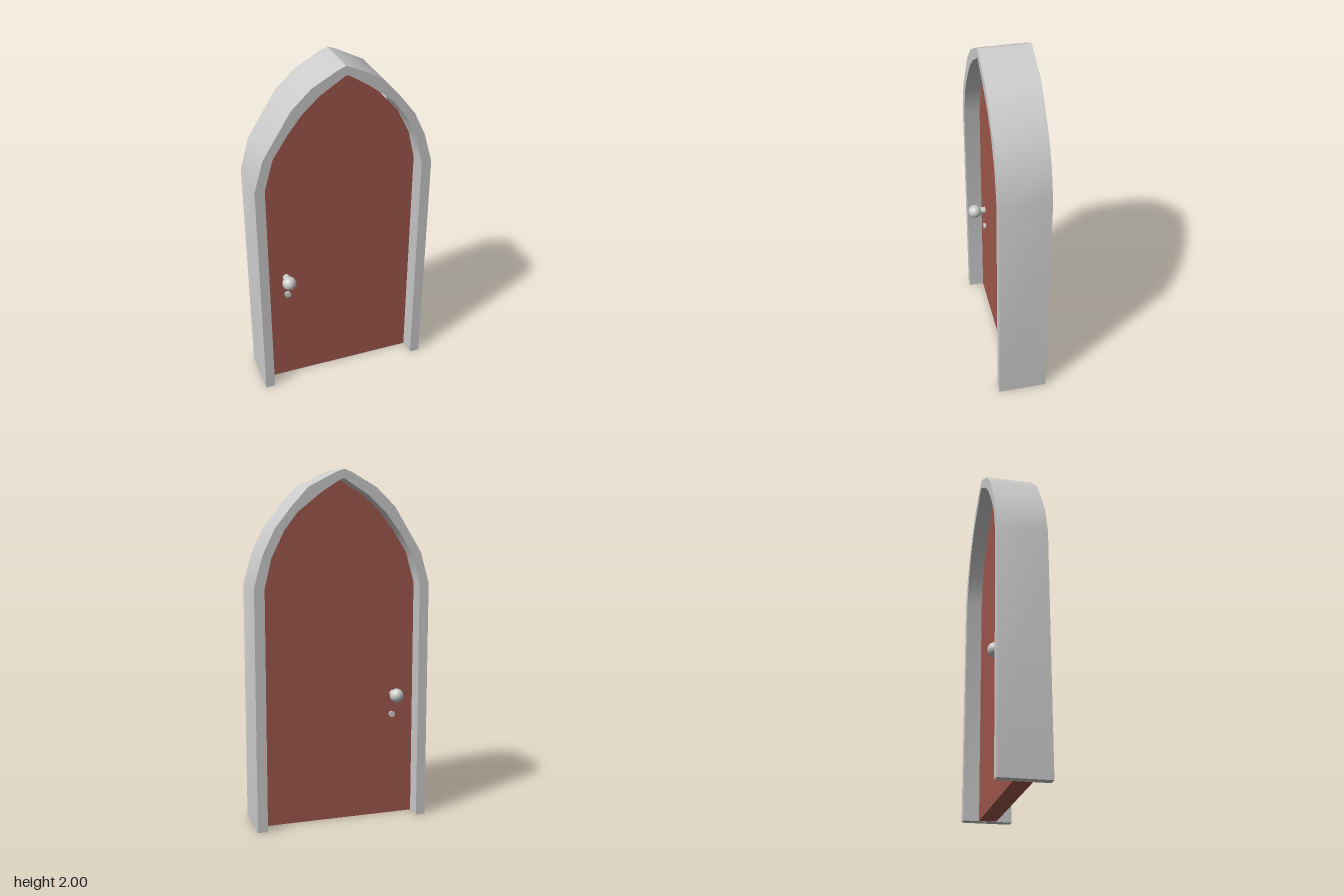
import * as THREE from 'three';
import { toCreasedNormals } from 'three/addons/utils/BufferGeometryUtils.js';

const grey = new THREE.MeshStandardMaterial({ color: 0xcccccc });
const wood = new THREE.MeshStandardMaterial({ color: 0xa0584c });

// Arch outlines, running from the lower right foot over the peak to the lower left foot
const outer = [
  [0.505, 0], [0.505, 1.37], [0.455, 1.545], [0.39, 1.68], [0.296, 1.8], [0.2, 1.905],
  [0.042, 1.985], [0, 2], [-0.042, 1.985], [-0.185, 1.905], [-0.296, 1.8],
  [-0.455, 1.545], [-0.505, 1.37], [-0.505, 0],
];
const inner = [
  [0.447, 0], [0.447, 1.365], [0.407, 1.53], [0.335, 1.675], [0.262, 1.77], [0.13, 1.875],
  [0.02, 1.945], [0, 1.95], [-0.143, 1.86], [-0.24, 1.77], [-0.32, 1.667],
  [-0.4, 1.545], [-0.45, 1.37], [-0.45, 0],
];
// The leaf hangs with a narrow gap along its right edge
const leaf = [
  [0.44, 0], [0.44, 1.365], [0.4, 1.53], [0.325, 1.675], [0.235, 1.775],
  [0.12, 1.865], [0.005, 1.946], ...inner.slice(8),
];

// Extrude an outline to a given depth, centred on z = 0
function slab(name, points, depth, material) {
  const shape = new THREE.Shape(points.map(([x, y]) => new THREE.Vector2(x, y)));
  const geometry = new THREE.ExtrudeGeometry(shape, { depth, bevelEnabled: false });
  geometry.translate(0, 0, -depth / 2);
  const mesh = new THREE.Mesh(toCreasedNormals(geometry, 0.45), material);
  mesh.name = name;
  return mesh;
}

// Round bar running through the leaf along z
function bar(name, x, y, radius, length) {
  const geometry = new THREE.CylinderGeometry(radius, radius, length, 20);
  geometry.rotateX(Math.PI / 2);
  const mesh = new THREE.Mesh(geometry, grey);
  mesh.position.set(x, y, 0);
  mesh.name = name;
  return mesh;
}

export function createModel() {
  const model = new THREE.Group();
  model.name = 'archedDoor';

  model.add(slab('frame', [...outer, ...inner.slice().reverse()], 0.28, grey));
  model.add(slab('doorLeaf', leaf, 0.1, wood));

  // Knobs on both faces, joined by a spindle
  const hardware = new THREE.Group();
  hardware.name = 'doorHardware';
  hardware.add(bar('knobSpindle', -0.328, 0.725, 0.02, 0.2));
  for (const side of [1, -1]) {
    const knob = new THREE.Mesh(new THREE.SphereGeometry(0.04, 24, 16), grey);
    knob.position.set(-0.328, 0.725, side * 0.115);
    knob.name = side > 0 ? 'frontKnob' : 'backKnob';
    hardware.add(knob);
  }
  // Lock barrel below the knobs
  hardware.add(bar('lockBarrel', -0.323, 0.602, 0.018, 0.125));
  model.add(hardware);

  return model;
}
